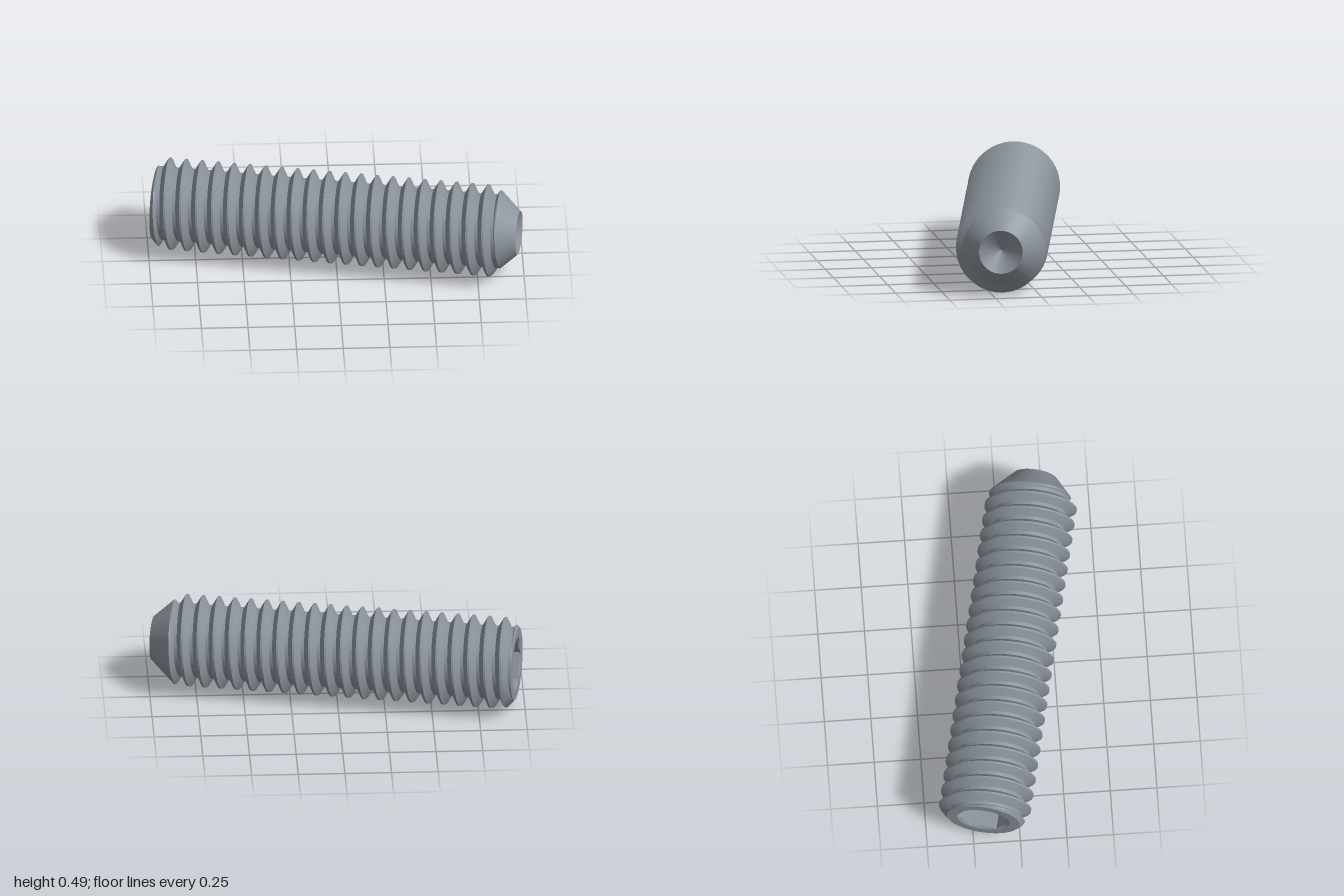
import * as THREE from 'three';
import { toCreasedNormals } from 'three/addons/utils/BufferGeometryUtils.js';

const HALF = 0.9875;      // half length along the axis
const CREST = 0.2465, ROOT = 0.197, PITCH = 0.0864;
const FLANK = 0.0286, CREST_FLAT = 0.0108;
const PHASE = -0.918;     // axial position of a crest at the top
const END_R = 0.196, CUP_R = 0.117;
const SOCKET_R = 0.143, SOCKET_DEPTH = 0.31;
const SEG = 96;

// Surface around the x axis: fn(row, angle) gives [axial position, radius].
function sweep(rows, fn) {
  const pos = [], index = [], w = SEG + 1;
  rows.forEach((row) => {
    for (let j = 0; j <= SEG; j++) {
      const t = (j / SEG) * Math.PI * 2;
      const [a, r] = fn(row, t);
      pos.push(a, r * Math.cos(t), r * Math.sin(t));
    }
  });
  const same = (p, q) => [0, 1, 2].every((k) => Math.abs(pos[p * 3 + k] - pos[q * 3 + k]) < 1e-7);
  const tri = (a, b, c) => {
    if (!same(a, b) && !same(b, c) && !same(a, c)) index.push(a, b, c);
  };
  for (let i = 0; i < rows.length - 1; i++) {
    for (let j = 0; j < SEG; j++) {
      const p = i * w + j, q = p + w;
      tri(p, p + 1, q);
      tri(p + 1, q + 1, q);
    }
  }
  const geo = new THREE.BufferGeometry();
  geo.setAttribute('position', new THREE.Float32BufferAttribute(pos, 3));
  geo.setIndex(index);
  return toCreasedNormals(geo, 0.45);
}

// Thread radius at a distance d (in axial units) from the crest centre
function threadRadius(d) {
  const k = THREE.MathUtils.clamp((Math.abs(d) - CREST_FLAT / 2) / FLANK, 0, 1);
  return CREST + (ROOT - CREST) * k;
}

// Right-handed thread, trimmed by a chamfer at one end and a cone at the other
function threadGeometry() {
  const half = CREST_FLAT / 2, offsets = [];
  for (let k = 0; k <= 4; k++) offsets.push(-half - FLANK * (1 - k / 4));
  for (let k = 0; k <= 4; k++) offsets.push(half + FLANK * (k / 4));
  offsets.push(PITCH / 2);
  const rows = [];
  for (let n = -3; n <= 24; n++) offsets.forEach((d) => rows.push({ n, d }));
  return sweep(rows, ({ n, d }, t) => {
    const raw = PHASE + (n + t / (Math.PI * 2)) * PITCH + d;
    const a = THREE.MathUtils.clamp(raw, -HALF, HALF);
    const phase = (a - PHASE) / PITCH - t / (Math.PI * 2);
    const r = threadRadius((phase - Math.round(phase)) * PITCH);
    return [a, Math.min(r, END_R + (a + HALF) * 1.1, CUP_R + (HALF - a) * 0.92)];
  });
}

// Hexagon radius at an angle, corners on the sides
function hexRadius(t) {
  const step = Math.PI / 3;
  const u = ((t + step / 2) % step) - step / 2;
  const v = Math.abs(u) > step / 2 ? u - Math.sign(u) * step : u;
  return (SOCKET_R * Math.cos(step / 2)) / Math.cos(v);
}

export function createModel() {
  const steel = new THREE.MeshStandardMaterial({ color: 0x8b939c });
  steel.name = 'steel grey';

  const screw = new THREE.Group();
  screw.name = 'setScrew';
  const add = (name, geometry) => {
    const mesh = new THREE.Mesh(geometry, steel);
    mesh.name = name;
    screw.add(mesh);
  };

  add('threadedBody', threadGeometry());

  // Flat rim around the socket
  add('driveEndRim', sweep([SOCKET_R, END_R], (r) => [-HALF, r]));

  // Hex socket: drilled floor, six walls, countersunk mouth
  add('hexSocket', sweep(['tip', 'floor', 'mouth', 'rim'], (row, t) => {
    const r = hexRadius(t);
    if (row === 'tip') return [-HALF + SOCKET_DEPTH + 0.04, 0];
    if (row === 'floor') return [-HALF + SOCKET_DEPTH, r];
    if (row === 'mouth') return [-HALF + (SOCKET_R - r) * 0.577, r];
    return [-HALF, SOCKET_R];
  }));

  // Conical hollow in the point
  add('cupPoint', sweep([1, 0.5, 0], (k) => [HALF - 0.068 * (1 - k), CUP_R * k]));

  // Turned slightly and lying on the ground
  screw.rotation.y = -THREE.MathUtils.degToRad(12.1);
  screw.position.set(0.0085, 0.2465, 0.0105);

  const model = new THREE.Group();
  model.name = 'model';
  model.add(screw);
  return model;
}
